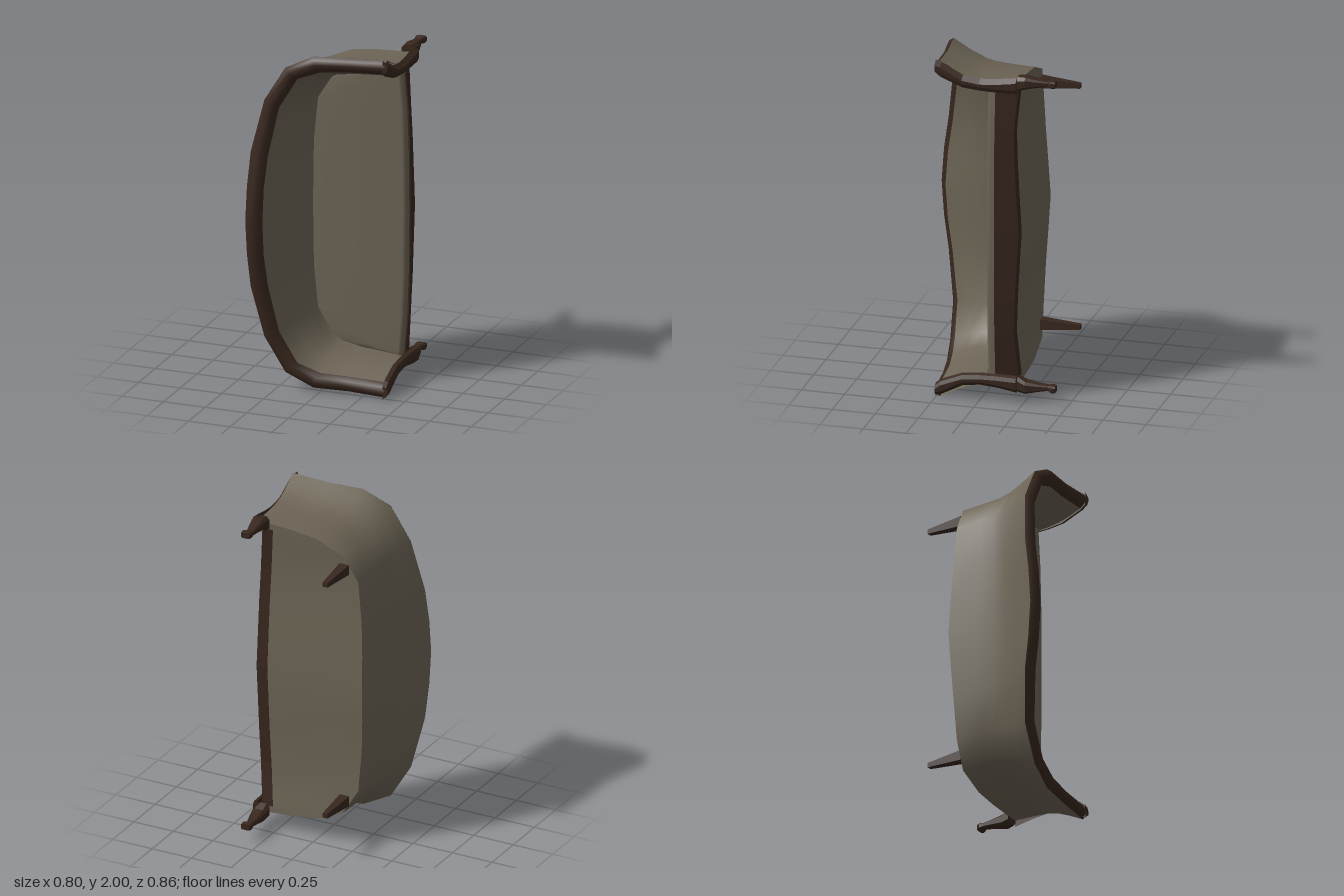
import * as THREE from 'three';

const fabric = new THREE.MeshStandardMaterial({ color: 0x6c6455, side: THREE.DoubleSide });
fabric.name = 'taupe fabric';
const wood = new THREE.MeshStandardMaterial({ color: 0x38271e, side: THREE.DoubleSide });
wood.name = 'dark wood';

// The settee rests on one end: length along y, its top towards +z, its seat opening towards +x.
// Stations run from the arm front to the middle of the back:
// rim outer [x, y], rim inner [x, y], rim crown z, foot of shell [x, y], foot of inner wall [x, y]
const HALF = [
  [[0.385, 2.0], [0.375, 1.91], 0.262, [0.37, 1.9], [0.36, 1.84]],
  [[0.16, 1.985], [0.16, 1.9], 0.276, [0.16, 1.89], [0.12, 1.82]],
  [[-0.04, 1.98], [0.0, 1.89], 0.304, [0.0, 1.87], [0.01, 1.8]],
  [[-0.2, 1.9], [-0.13, 1.84], 0.327, [-0.165, 1.8], [-0.06, 1.75]],
  [[-0.32, 1.7], [-0.235, 1.66], 0.342, [-0.255, 1.65], [-0.14, 1.62]],
  [[-0.385, 1.4], [-0.285, 1.38], 0.385, [-0.28, 1.4], [-0.165, 1.37]],
  [[-0.396, 1.2], [-0.297, 1.2], 0.415, [-0.29, 1.2], [-0.168, 1.2]],
  [[-0.4, 1.0], [-0.3, 1.0], 0.43, [-0.295, 1.0], [-0.17, 1.0]],
];
const flip = ([x, y]) => [x, 2 - y];
const STATIONS = [
  ...HALF,
  ...HALF.slice(0, -1).reverse().map(([a, b, z, c, d]) => [flip(a), flip(b), z, flip(c), flip(d)]),
];

const lerp = THREE.MathUtils.lerp;

// Piecewise linear curve through [key, value] pairs
function curve(points, k) {
  for (let i = 1; i < points.length; i++) {
    if (k <= points[i][0]) {
      const [a, b] = [points[i - 1], points[i]];
      return lerp(a[1], b[1], Math.max(0, (k - a[0]) / (b[0] - a[0])));
    }
  }
  return points[points.length - 1][1];
}
const bottomZ = (y) => curve([[0, -0.22], [0.25, -0.205], [0.55, -0.188], [0.65, -0.19], [0.8, -0.208], [0.9, -0.213]], Math.abs(y - 1));
const frontX = (y) => curve([[0, 0.392], [0.4, 0.388], [0.6, 0.381], [0.84, 0.36]], Math.abs(y - 1));

// Skin over a grid of [x, y, z] rows
function skin(rows, creased = false) {
  const n = rows[0].length;
  const index = [];
  for (let i = 0; i < rows.length - 1; i++) {
    for (let j = 0; j < n - 1; j++) {
      const a = i * n + j, b = a + n;
      index.push(a, b, a + 1, b, b + 1, a + 1);
    }
  }
  let geo = new THREE.BufferGeometry();
  geo.setAttribute('position', new THREE.Float32BufferAttribute(rows.flat(2), 3));
  geo.setIndex(index);
  if (creased) geo = geo.toNonIndexed();
  geo.computeVertexNormals();
  return geo;
}

// Faceted beam through rings of corners, closed at both ends
function beam(rings) {
  const mid = (r) => [0, 1, 2].map((k) => r.reduce((s, p) => s + p[k], 0) / r.length);
  const cap = (r) => Array(r.length + 1).fill(mid(r));
  return skin([cap(rings[0]), ...rings.map((r) => [...r, r[0]]), cap(rings[rings.length - 1])], true);
}

export function createModel() {
  const group = new THREE.Group();
  const add = (name, geo, mat) => {
    const mesh = new THREE.Mesh(geo, mat);
    mesh.name = name;
    group.add(mesh);
  };

  // Flared outer shell
  const flare = [[0, 0], [0.33, 0.06], [0.5, 0.12], [0.64, 0.26], [0.82, 0.6], [1, 1]];
  add('outerShell', skin(STATIONS.map(([o, , z, f]) => flare.map(([t, k]) => [
    lerp(f[0], o[0], k), lerp(f[1], o[1], k), lerp(bottomZ(f[1]), z - 0.032, t),
  ]))), fabric);

  // Upholstered inner wall
  const slope = [[0, 0], [0.25, 0.06], [0.5, 0.24], [0.75, 0.58], [1, 1]];
  add('innerWall', skin(STATIONS.map(([, r, z, , w]) => slope.map(([t, k]) => [
    lerp(w[0], r[0], k), lerp(w[1], r[1], k), lerp(-0.06, z - 0.038, t),
  ]).reverse())), fabric);

  // Rounded wooden rim over the arms and back
  const section = [[0, -0.033], [0.17, -0.01], [0.45, 0], [0.75, -0.012], [1, -0.038], [1.04, -0.055]];
  add('rim', skin(STATIONS.map(([o, r, z]) => section.map(([t, dz]) => [
    lerp(o[0], r[0], t), lerp(o[1], r[1], t), z + dz,
  ]))), wood);

  // Seat cushion with a rolled front edge
  add('seat', skin(STATIONS.map(([, , , , [x, y]]) => {
    const f = frontX(y);
    return [
      [x - 0.02, y, -0.06], [x + 0.01, y, -0.043], [lerp(x, f, 0.5), y, -0.038],
      [f - 0.02, y, -0.04], [f - 0.004, y, -0.048], [f, y, -0.06], [f, y, -0.1],
    ];
  })), fabric);

  // Underside, levelling off in front of the back legs
  add('underside', skin(STATIONS.map(([, , , [x, y]]) => {
    const f = frontX(y) - 0.06, level = Math.max(bottomZ(y), -0.213);
    return [[f, y, level], [lerp(x, f, 0.22), y, level], [x, y, bottomZ(y)]];
  })), fabric);

  // Front rail below the seat, leaning back towards its lower edge
  const railY = [0.14, 0.4, 0.6, 0.8, 1, 1.2, 1.4, 1.6, 1.86];
  add('frontRail', beam(railY.map((y) => {
    const f = frontX(y) + 0.008, b = bottomZ(y) - 0.003;
    return [[f - 0.04, y, -0.088], [f, y, -0.088], [f - 0.028, y, b], [f - 0.095, y, b]];
  })), wood);

  // Arm posts: z, inner y, outer y
  const post = [[0.257, 1.925, 2], [0.225, 1.9, 1.99], [0.1, 1.85, 1.925],
    [0, 1.84, 1.912], [-0.1, 1.838, 1.92], [-0.213, 1.84, 1.938]];
  // Front legs: z, back x, front x, inner y, outer y
  const frontLeg = [[-0.212, 0.295, 0.372, 1.85, 1.938], [-0.26, 0.298, 0.38, 1.872, 1.942],
    [-0.33, 0.302, 0.363, 1.885, 1.928], [-0.385, 0.304, 0.347, 1.892, 1.92],
    [-0.41, 0.3, 0.363, 1.886, 1.93], [-0.43, 0.309, 0.36, 1.89, 1.925]];
  // Back legs, in the same order
  const backLeg = [[-0.2, -0.203, -0.143, 1.69, 1.75], [-0.43, -0.188, -0.158, 1.705, 1.732]];
  for (const side of ['left', 'right']) {
    const my = (y) => (side === 'left' ? y : 2 - y);
    const place = (ring) => ring.map(([x, y, z]) => [x, my(y), z]);
    // Post with its front edges bevelled
    add(side + 'ArmPost', beam(post.map(([z, y0, y1]) => place([
      [0.367, y0, z], [0.39, y0 + 0.008, z], [0.4, y0 + 0.03, z], [0.4, y1 - 0.025, z], [0.37, y1, z],
    ]))), wood);
    // Front leg with chamfered corners
    add(side + 'FrontLeg', beam(frontLeg.map(([z, x0, x1, y0, y1]) => {
      const c = (y1 - y0) * 0.22;
      return place([
        [x0 + c, y0, z], [x1 - c, y0, z], [x1, y0 + c, z], [x1, y1 - c, z],
        [x1 - c, y1, z], [x0 + c, y1, z], [x0, y1 - c, z], [x0, y0 + c, z],
      ]);
    })), wood);
    // Tapered square back leg
    add(side + 'BackLeg', beam(backLeg.map(([z, x0, x1, y0, y1]) => place([
      [x0, y0, z], [x1, y0, z], [x1, y1, z], [x0, y1, z],
    ]))), wood);
  }
  return group;
}
